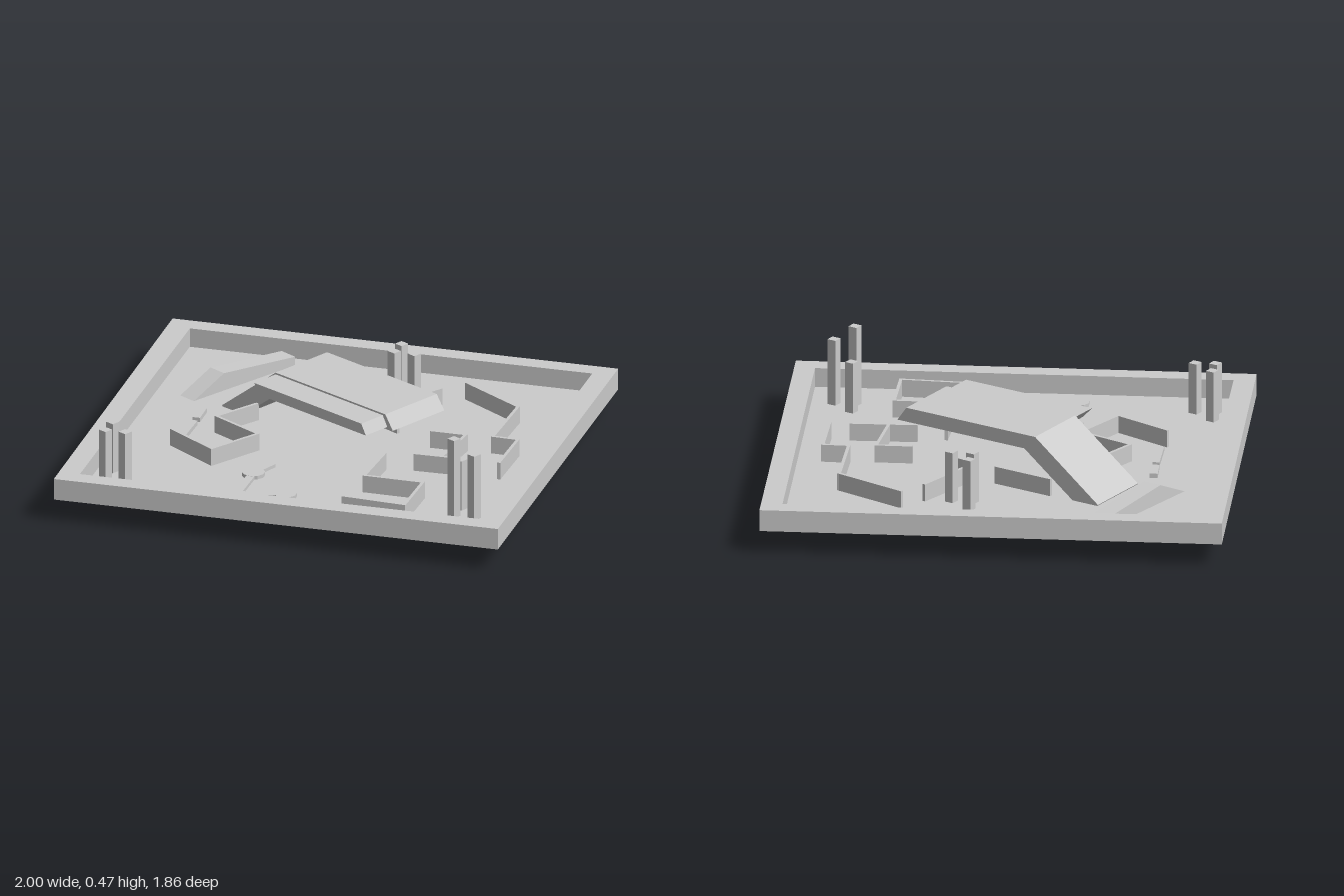
import * as THREE from 'three';

const mat = new THREE.MeshStandardMaterial({ color: 0xcccccc, flatShading: true, side: THREE.DoubleSide });
const FLOOR = 0.11;

function add(parent, name, geometry) {
  const mesh = new THREE.Mesh(geometry, mat);
  mesh.name = name;
  parent.add(mesh);
  return mesh;
}

// upright prism over a plan outline of [x, z] points
function prism(plan, y0, y1, hole) {
  const pts = (list) => list.map(([x, z]) => new THREE.Vector2(x, -z));
  const shape = new THREE.Shape(pts(plan));
  if (hole) shape.holes.push(new THREE.Path(pts(hole)));
  return new THREE.ExtrudeGeometry(shape, { depth: y1 - y0, bevelEnabled: false })
    .rotateX(-Math.PI / 2).translate(0, y0, 0);
}

// side profile of [along, y] points, extruded across from w0 to w1
function slab(profile, w0, w1) {
  const shape = new THREE.Shape(profile.map(([u, y]) => new THREE.Vector2(u, y)));
  return new THREE.ExtrudeGeometry(shape, { depth: w1 - w0, bevelEnabled: false }).translate(0, 0, w0);
}

// straight bar between two plan points
function bar([x0, z0], [x1, z1], width, y0, y1, extra = 0) {
  const len = Math.hypot(x1 - x0, z1 - z0) + extra;
  return new THREE.BoxGeometry(len, y1 - y0, width)
    .rotateY(-Math.atan2(z1 - z0, x1 - x0))
    .translate((x0 + x1) / 2, (y0 + y1) / 2, (z0 + z1) / 2);
}

export function createModel() {
  const model = new THREE.Group();
  model.name = 'obstacleTray';

  // slightly skewed tray with raised rim
  const outer = [[-0.98, -0.933], [1, -0.907], [0.973, 0.928], [-1, 0.902]];
  const inner = [[-0.88, -0.847], [0.907, -0.826], [0.885, 0.842], [-0.907, 0.82]];
  add(model, 'trayRim', prism(outer, 0.1, 0.195, inner));
  add(model, 'trayFloor', prism(inner, 0.1, FLOOR));

  // main ramp rising to a raised deck, with a side strip
  const ramp = new THREE.Group();
  ramp.name = 'mainRamp';
  ramp.rotation.y = -0.506;
  model.add(ramp);
  add(ramp, 'rampAndDeck', slab([[-0.625, 0.115], [-0.575, 0.05], [-0.25, 0.297],
    [0.395, 0.297], [0.35, 0.36], [-0.305, 0.36]], -0.258, 0.056));
  add(ramp, 'deckSideStrip', slab([[-0.305, 0.352], [-0.262, 0.305], [0.362, 0.305], [0.335, 0.352]], 0.056, 0.187));

  // low folded ramp at the back, carried by two side fins
  const low = new THREE.Group();
  low.name = 'lowRamp';
  low.position.set(-0.648, 0, -0.446);
  low.rotation.y = Math.atan2(-0.845, -0.535);
  model.add(low);
  add(low, 'lowRampTop', slab([[0.196, 0.1], [0, 0.19], [-0.41, 0.15],
    [-0.41, 0.13], [0, 0.17], [0.17, 0.092]], -0.038, 0.038));
  for (const w of [-0.043, 0.037]) {
    add(low, 'lowRampFin', slab([[0.196, 0.1], [0, 0.19], [-0.41, 0.15],
      [-0.41, 0.085], [0, 0.096], [0.196, 0]], w, w + 0.006));
  }

  // clusters of square posts: x, z, top height
  const posts = [
    [-0.835, 0.553, 0.337], [-0.842, 0.644, 0.337], [-0.755, 0.644, 0.337],
    [0.708, 0.553, 0.337], [0.7, 0.642, 0.467], [0.79, 0.644, 0.405],
    [0.125, -0.602, 0.337], [0.116, -0.516, 0.337], [0.207, -0.51, 0.337],
  ];
  for (const [x, z, top] of posts) {
    const post = add(model, 'post', new THREE.BoxGeometry(0.04, top - 0.085, 0.04));
    post.position.set(x, (top + 0.085) / 2, z);
    post.rotation.y = -0.506;
  }

  // thin zigzag walls
  const walls = [
    [[0.415, -0.605], [0.693, -0.41], [0.677, -0.068], [0.788, -0.062], [0.778, 0.2]],
    [[0.32, -0.515], [0.122, -0.235], [0.225, -0.17]],
    [[-0.208, -0.413], [0.03, -0.28]],
    [[0.41, -0.057], [0.56, -0.055], [0.525, 0.2]],
    [[0.407, 0.204], [0.685, 0.203]],
    [[0.28, 0.235], [0.262, 0.49], [0.522, 0.497], [0.512, 0.755], [0.235, 0.733]],
    [[-0.39, -0.15], [-0.52, 0.03], [-0.3, 0.17], [-0.445, 0.38], [-0.665, 0.217]],
  ];
  for (const path of walls) {
    for (let i = 1; i < path.length; i++) {
      add(model, 'wall', bar(path[i - 1], path[i], 0.014, 0.092, 0.187, 0.012));
    }
  }

  // two short low rails
  add(model, 'lowRail', bar([-0.635, -0.17], [-0.635, -0.06], 0.034, 0.09, 0.13));
  add(model, 'lowRail', bar([-0.635, -0.03], [-0.642, 0.165], 0.03, 0.09, 0.13));

  // flat linked discs with a short tail
  const nodes = [[-0.243, 0.44], [-0.25, 0.697], [-0.05, 0.63]];
  const top = 0.126;
  for (const [x, z] of nodes) {
    add(model, 'disc', new THREE.CylinderGeometry(0.05, 0.05, top - 0.1, 10))
      .position.set(x, (top + 0.1) / 2, z);
  }
  add(model, 'discLink', bar(nodes[0], nodes[1], 0.036, 0.1, top - 0.001));
  add(model, 'discLink', bar(nodes[1], nodes[2], 0.036, 0.1, top - 0.001));
  add(model, 'discTail', bar(nodes[0], [-0.19, 0.325], 0.032, 0.1, top - 0.001));

  return model;
}
